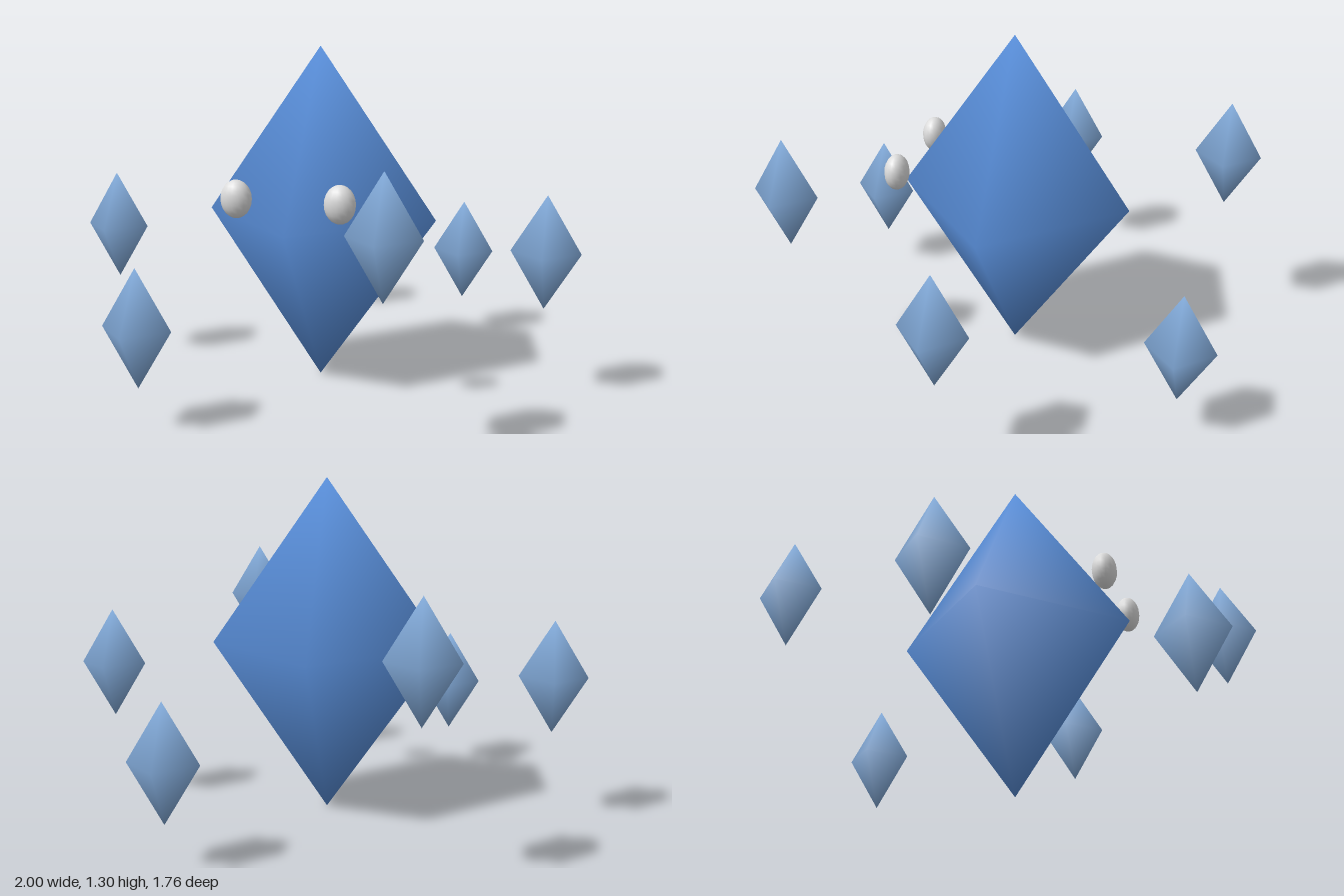
import * as THREE from 'three';

export function createModel() {
  const group = new THREE.Group();
  const material = (name, color) => {
    const m = new THREE.MeshStandardMaterial({ color });
    m.name = name;
    return m;
  };
  const bodyBlue = material('body blue', 0x5b92df);
  const shardBlue = material('shard blue', 0x85aede);
  const eyeGrey = material('eye pale grey', 0xdcdcdc);

  // Smooth-shaded eight-sided crystal and a rounder ball, both of unit radius
  const crystal = new THREE.SphereGeometry(1, 4, 2);
  const ball = new THREE.SphereGeometry(1, 16, 12);

  const add = (name, geometry, mat, [x, y, z], [sx, sy, sz]) => {
    const mesh = new THREE.Mesh(geometry, mat);
    mesh.name = name;
    mesh.position.set(x, y, z);
    mesh.scale.set(sx, sy, sz);
    group.add(mesh);
  };

  // Large central crystal
  add('body', crystal, bodyBlue, [0, 0.652, 0], [0.455, 0.648, 0.455]);

  // Pair of eyes floating by the front edge
  for (const side of [1, -1]) {
    add(side > 0 ? 'leftEye' : 'rightEye', ball, eyeGrey,
      [side * 0.193, 0.775, 0.408], [0.058, 0.07, 0.046]);
  }

  // Six small crystals in a ring, bobbing at different heights
  const heights = [0.557, 0.745, 0.37, 0.557, 0.745, 0.37];
  heights.forEach((y, i) => {
    const a = (i * Math.PI) / 3;
    add('shard' + (i + 1), crystal, shardBlue,
      [0.868 * Math.cos(a), y, 0.868 * Math.sin(a)], [0.13, 0.215, 0.13]);
  });

  return group;
}
